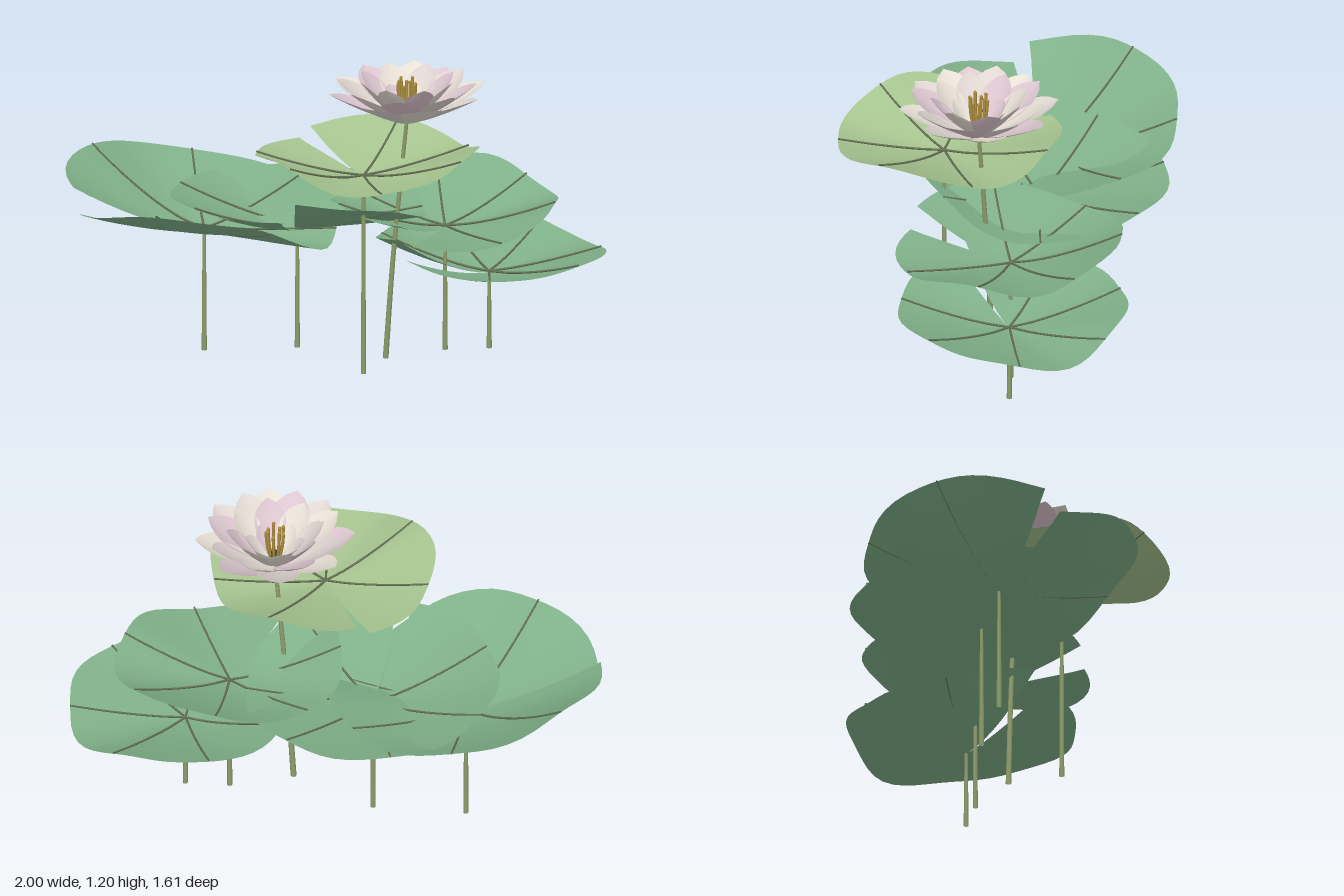
import * as THREE from 'three';

const mat = (color) => new THREE.MeshStandardMaterial({ color, side: THREE.DoubleSide });
const LEAF = mat(0x7fb088), LIGHT_LEAF = mat(0xa6c48f), VEIN = mat(0x667256);
const STEM = mat(0x8f9f6c), GOLD = mat(0xb0903f), SEED = mat(0x4a4426);
const PETALS = [mat(0xe0d6d2), mat(0xdcc6d0), mat(0xe8e0d5)];
const TAU = Math.PI * 2;

function add(group, name, geometry, material) {
  const mesh = new THREE.Mesh(geometry, material);
  mesh.name = name;
  group.add(mesh);
  return mesh;
}

// Upward-facing grid from a function of (u, v), both 0..1
function surface(nu, nv, point) {
  const pos = [], index = [];
  for (let i = 0; i <= nu; i++)
    for (let j = 0; j <= nv; j++) pos.push(...point(i / nu, j / nv));
  for (let i = 0; i < nu; i++)
    for (let j = 0; j < nv; j++) {
      const a = i * (nv + 1) + j, b = a + nv + 1;
      index.push(a, b + 1, b, a, a + 1, b + 1);
    }
  const g = new THREE.BufferGeometry();
  g.setAttribute('position', new THREE.Float32BufferAttribute(pos, 3));
  g.setIndex(index);
  g.computeVertexNormals();
  return g;
}

// Tapering round stalk along a list of points
function stalk(points, r0, r1, sides = 8, steps = 10) {
  const curve = new THREE.CatmullRomCurve3(points.map((p) => new THREE.Vector3(...p)));
  const g = new THREE.TubeGeometry(curve, steps, 1, sides);
  const p = g.attributes.position, v = new THREE.Vector3();
  for (let i = 0; i < p.count; i++) {
    const t = Math.floor(i / (sides + 1)) / steps, c = curve.getPointAt(t);
    v.fromBufferAttribute(p, i).sub(c).multiplyScalar(r0 + (r1 - r0) * t).add(c);
    p.setXYZ(i, v.x, v.y, v.z);
  }
  return g;
}

// Wavy notched leaf with six veins, on its own stem. The rim heights run from
// one notch edge round to the other; shift moves the rim along z.
function makeLeaf({ x, y, z, r, shift, notch, rim, material }) {
  const group = new THREE.Group();
  group.name = 'lilyLeaf';
  const start = THREE.MathUtils.degToRad(notch);
  const heights = new THREE.SplineCurve(rim.map((h, i) => new THREE.Vector2(i, h)));
  const at = (v, t, gap = 0, lift = 0) => {
    const angle = start + gap + v * (TAU - 2 * gap);
    const radius = r * t * (1 - 0.018 * t * Math.cos(7 * (angle - start)));
    return [x + radius * Math.cos(angle),
      y + (heights.getPoint(v).y - y) * Math.pow(t, 1.5) + lift,
      z + radius * Math.sin(angle) + shift * t];
  };
  add(group, 'leafBlade', surface(8, 56, (u, v) =>
    at(v, u, 0.06 * Math.min(1, Math.max(0, u - 0.12) * 1.3))), material);
  for (let k = 1; k < 7; k++) {
    const path = [0, 0.2, 0.4, 0.6, 0.8, 1].map((t) => at(k / 7, t, 0, 0.005));
    add(group, 'leafVein', stalk(path, 0.005, 0.004, 5, 10), VEIN);
  }
  add(group, 'leafStem', stalk([[x, 0, z], [x, y / 2, z], [x, y, z]], 0.011, 0.007), STEM);
  return group;
}

// Cupped, pointed petal reaching out along +x and rising to its tip
function petalGeometry(length, height, width, curl) {
  return surface(10, 6, (u, v) => {
    const s = v * 2 - 1;
    const w = width / 2 * Math.pow(Math.sin(Math.PI * Math.pow(u * 0.98 + 0.02, 1.4)), 0.75);
    return [0.015 + (length - 0.015) * u,
      height * Math.pow(u, curl) + 0.025 * s * s * Math.sin(Math.PI * u), s * w];
  });
}

function makeFlower() {
  const flower = new THREE.Group();
  flower.name = 'flower';
  flower.position.set(0.33, 1.01, -0.02);
  // Rings of petals: count, reach, rise, width, curl, turn
  const rings = [
    [8, 0.325, 0.145, 0.175, 1.25, 0],
    [8, 0.285, 0.17, 0.165, 1.3, 0.5],
    [8, 0.2, 0.185, 0.13, 1.35, 0.1],
    [6, 0.12, 0.12, 0.09, 1.3, 0.6],
  ];
  rings.forEach(([count, reach, rise, width, curl, turn], ring) => {
    const geometry = petalGeometry(reach, rise, width, curl);
    for (let i = 0; i < count; i++) {
      const petal = add(flower, 'petal', geometry, PETALS[(i * 2 + ring) % 3]);
      petal.rotation.y = ((i + turn) / count) * TAU;
      petal.position.y = ring * 0.004;
    }
  });
  // Stamens around a dark heart
  add(flower, 'flowerHeart', new THREE.CylinderGeometry(0.025, 0.02, 0.05, 10), SEED).position.y = 0.035;
  for (let i = 0; i < 9; i++) {
    const a = (i / 9) * TAU, c = Math.cos(a), s = Math.sin(a);
    const top = 0.16 + 0.02 * (i % 2);
    add(flower, 'stamen', stalk([[0.018 * c, 0.03, 0.018 * s], [0.032 * c, 0.1, 0.032 * s],
      [0.036 * c, top, 0.036 * s]], 0.005, 0.007, 6, 6), GOLD);
    add(flower, 'stamenTip', new THREE.SphereGeometry(0.008, 6, 5), GOLD)
      .position.set(0.036 * c, top, 0.036 * s);
  }
  return flower;
}

export function createModel() {
  const model = new THREE.Group();
  model.name = 'waterLily';
  const leaves = [
    { x: 0.258, y: 0.835, z: 0.21, r: 0.452, shift: -0.02, notch: 207, material: LIGHT_LEAF,
      rim: [0.92, 0.95, 0.89, 0.97, 0.92, 0.885, 0.975, 0.91, 0.88] },
    { x: -0.455, y: 0.51, z: 0.25, r: 0.55, shift: 0.005, notch: 133, material: LEAF,
      rim: [0.73, 0.78, 0.7, 0.63, 0.61, 0.51, 0.68, 0.72, 0.64] },
    { x: -0.145, y: 0.515, z: 0.035, r: 0.512, shift: -0.012, notch: 66, material: LEAF,
      rim: [0.68, 0.67, 0.65, 0.62, 0.61, 0.6, 0.57, 0.69, 0.76] },
    { x: 0.39, y: 0.52, z: -0.23, r: 0.458, shift: 0, notch: 82, material: LEAF,
      rim: [0.65, 0.66, 0.6, 0.64, 0.69, 0.61, 0.645, 0.56, 0.57] },
    { x: 0.535, y: 0.32, z: -0.335, r: 0.463, shift: -0.016, notch: 113, material: LEAF,
      rim: [0.53, 0.45, 0.43, 0.45, 0.36, 0.42, 0.43, 0.42, 0.46] },
  ];
  leaves.forEach((leaf) => model.add(makeLeaf(leaf)));
  add(model, 'flowerStem', stalk([[0.235, 0, -0.015], [0.265, 0.4, -0.018],
    [0.3, 0.75, -0.02], [0.33, 1.02, -0.02]], 0.012, 0.008), STEM);
  model.add(makeFlower());
  return model;
}
